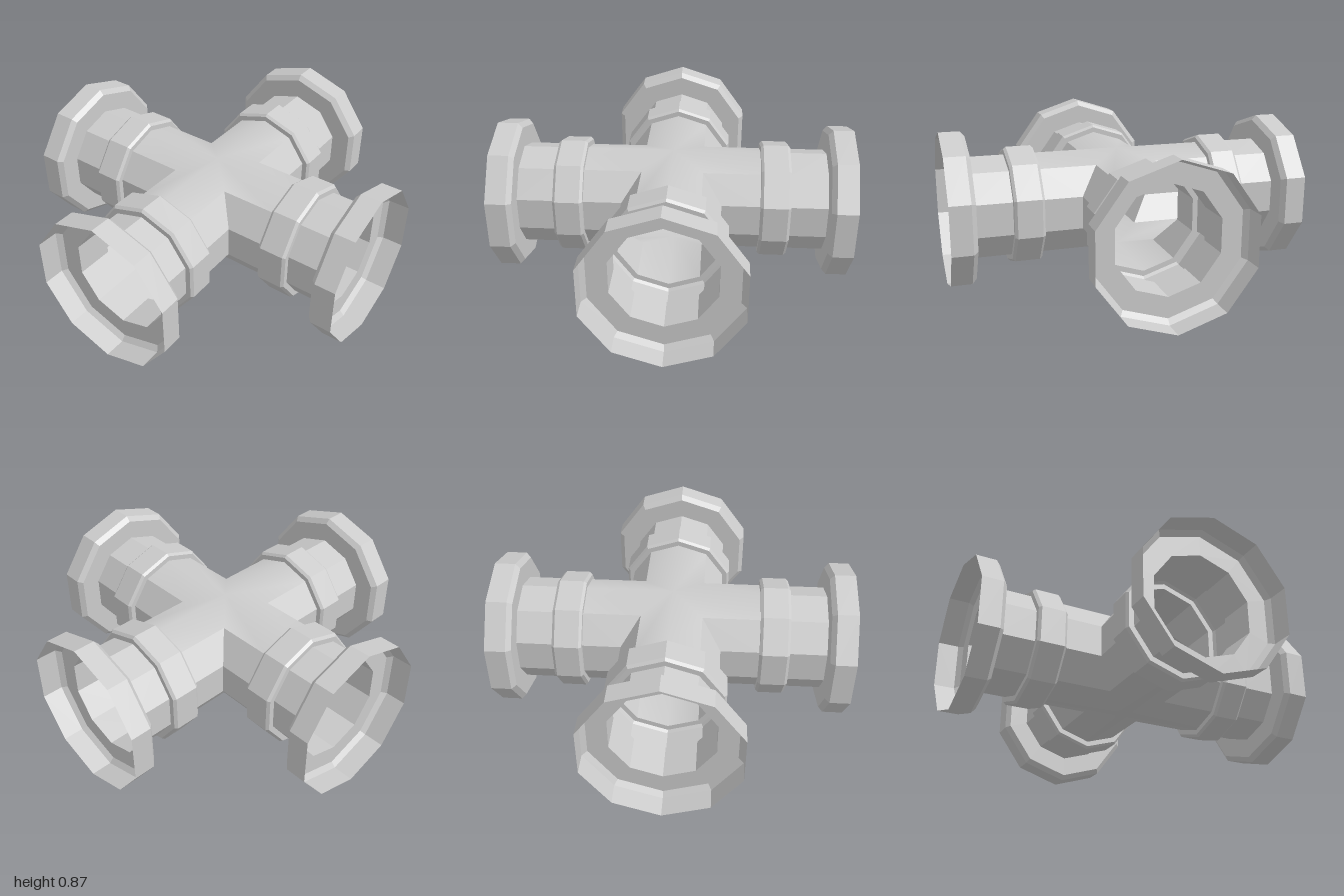
import * as THREE from 'three';
import { mergeVertices } from 'three/addons/utils/BufferGeometryUtils.js';

const SIDES = 10, PIPE_R = 0.29, AXIS_Y = 0.433, JOINT_END = 0.49;

// Ring corner of the pipe, with a corner exactly at the top and bottom
function corner(i) {
  const a = Math.PI / 2 + (i * Math.PI * 2) / SIDES;
  return [PIPE_R * Math.cos(a), PIPE_R * Math.sin(a)];
}

// Facets of the four stub pipes, cut where neighbouring stubs meet
function jointGeometry(facets) {
  const pos = [];
  const up = new THREE.Vector3(0, 1, 0);
  for (let arm = 0; arm < 4; arm++) {
    for (const i of facets) {
      const [x0, y0] = corner(i), [x1, y1] = corner(i + 1);
      const [a, b, c, d] = [
        [x0, y0, Math.abs(x0)], [x1, y1, Math.abs(x1)],
        [x1, y1, JOINT_END], [x0, y0, JOINT_END],
      ].map(p => new THREE.Vector3(...p).applyAxisAngle(up, arm * Math.PI / 2));
      for (const v of [a, b, c, a, c, d]) pos.push(v.x, v.y, v.z);
    }
  }
  const geo = new THREE.BufferGeometry();
  geo.setAttribute('position', new THREE.Float32BufferAttribute(pos, 3));
  const merged = mergeVertices(geo, 1e-4);
  merged.computeVertexNormals();
  return merged;
}

// Faceted open shell turned around the z axis; points are [radius, z]
function turned(points) {
  const geo = new THREE.LatheGeometry(points.map(p => new THREE.Vector2(...p)), SIDES);
  geo.rotateX(Math.PI / 2);
  const flat = geo.toNonIndexed();
  flat.computeVertexNormals();
  return flat;
}

export function createModel() {
  const flat = new THREE.MeshStandardMaterial({ color: 0xcccccc, flatShading: true, side: THREE.DoubleSide });
  const smooth = new THREE.MeshStandardMaterial({ color: 0xcccccc, side: THREE.DoubleSide });
  const model = new THREE.Group();
  model.name = 'crossPipe';

  const add = (parent, name, geo, mat) => {
    const mesh = new THREE.Mesh(geo, mat);
    mesh.name = name;
    parent.add(mesh);
  };

  // Central junction: softly blended top and bottom, crisp side facets
  const joint = new THREE.Group();
  joint.name = 'junction';
  add(joint, 'junctionTop', jointGeometry([-1, 0]), smooth);
  add(joint, 'junctionBottom', jointGeometry([4, 5]), smooth);
  add(joint, 'junctionSides', jointGeometry([1, 2, 3, 6, 7, 8]), flat);
  model.add(joint);

  // Hollow collar, pipe and cup-shaped flange of each arm
  const parts = {
    collar: turned([[PIPE_R, 0.49], [0.32, 0.49], [0.333, 0.505], [0.333, 0.64], [0.32, 0.655], [PIPE_R, 0.655]]),
    pipe: turned([[PIPE_R, 0.655], [PIPE_R, 0.86]]),
    flange: turned([[PIPE_R, 0.86], [0.405, 0.86], [0.433, 0.885], [0.433, 1]]),
  };
  ['frontArm', 'leftArm', 'backArm', 'rightArm'].forEach((name, k) => {
    const arm = new THREE.Group();
    arm.name = name;
    for (const [part, geo] of Object.entries(parts)) add(arm, part, geo, flat);
    arm.rotation.y = k * Math.PI / 2;
    model.add(arm);
  });

  // Lift so the flanges rest on the floor
  model.children.forEach(c => { c.position.y = AXIS_Y; });
  return model;
}
